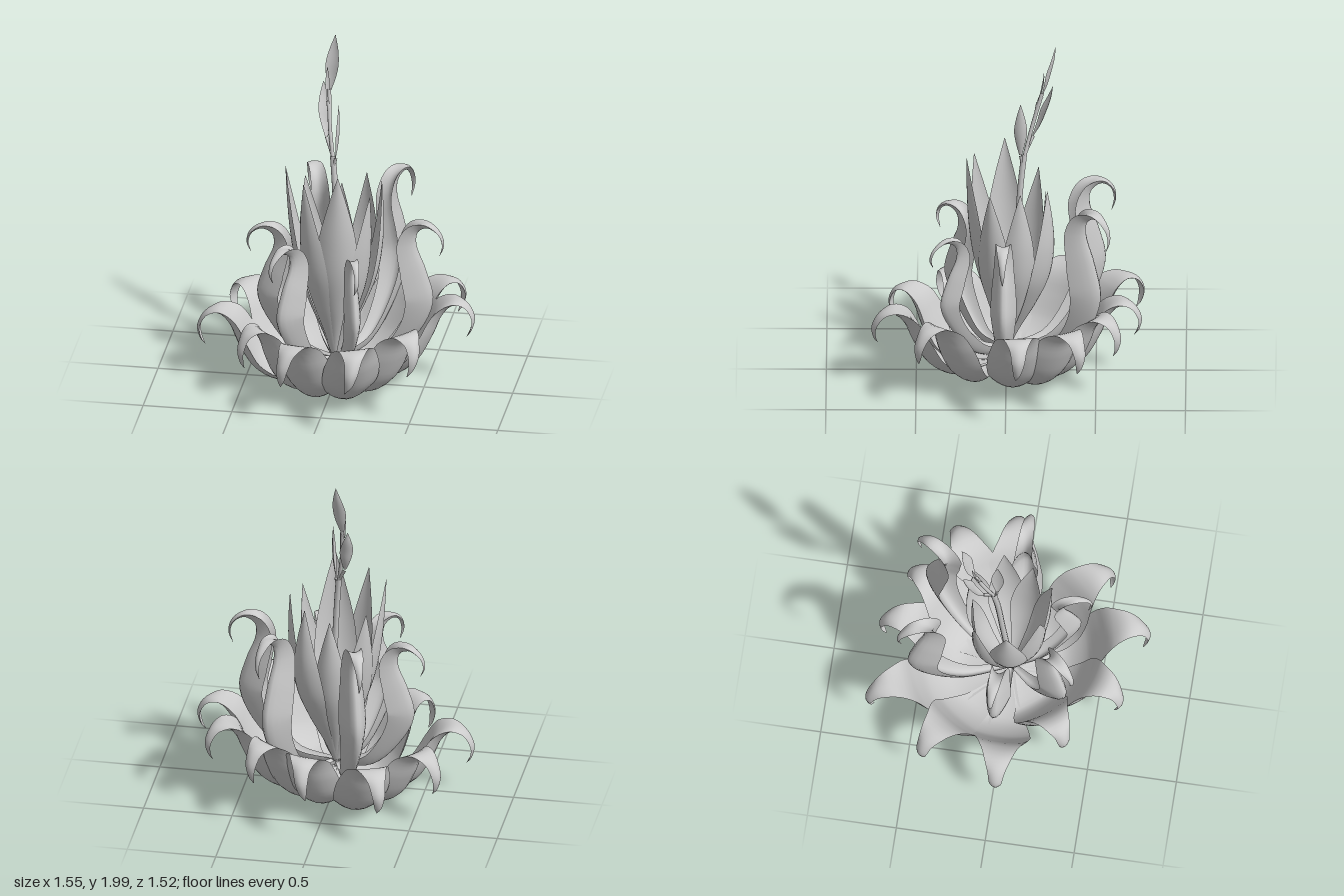
import * as THREE from 'three';

const material = new THREE.MeshStandardMaterial({ color: 0xcccccc });

// A leaf swept along a ridge of [radius, height, halfWidth] points in the vertical plane
// facing azimuth a. fold = trough depth (tipFold near the tip) and thick = flesh, both
// relative to the half width; bend bows the leaf sideways, shear tilts it along x.
function leaf(name, points, a, { fold, tipFold = fold, thick, bend = 0, shear = 0, rows = 40, cols = 12 }) {
  const curve = new THREE.CatmullRomCurve3(points.map((p) => new THREE.Vector3(...p)));
  const out = new THREE.Vector3(Math.sin(a), 0, Math.cos(a));
  const side = new THREE.Vector3(Math.cos(a), 0, -Math.sin(a));
  const positions = [], indices = [];
  for (const inner of [false, true]) {
    const start = positions.length / 3;
    for (let i = 0; i <= rows; i++) {
      const p = curve.getPoint(i / rows), t = curve.getTangent(i / rows);
      const len = Math.hypot(t.x, t.y) || 1;
      const w = Math.max(p.z, 0.001);
      const f = THREE.MathUtils.lerp(fold, tipFold, THREE.MathUtils.smoothstep(i / rows, 0.5, 0.8));
      const bow = bend * Math.sin((Math.PI * i) / rows);
      for (let j = 0; j <= cols; j++) {
        const u = Math.sin((j / cols - 0.5) * Math.PI);
        const lift = w * (f * u * u + (inner ? thick * (1 - u * u) : 0));
        const r = p.x - (t.y / len) * lift, y = p.y + (t.x / len) * lift;
        const v = out.clone().multiplyScalar(r).addScaledVector(side, u * w + bow);
        positions.push(v.x, y + shear * v.x, v.z);
      }
    }
    for (let i = 0; i < rows; i++) {
      for (let j = 0; j < cols; j++) {
        const b = start + i * (cols + 1) + j, c = b + cols + 1;
        if (inner) indices.push(b, c, b + 1, c, c + 1, b + 1);
        else indices.push(b, b + 1, c, c, b + 1, c + 1);
      }
    }
  }
  const geometry = new THREE.BufferGeometry();
  geometry.setAttribute('position', new THREE.Float32BufferAttribute(positions, 3));
  geometry.setIndex(indices);
  geometry.computeVertexNormals();
  const mesh = new THREE.Mesh(geometry, material);
  mesh.name = name;
  return mesh;
}

function tube(name, points, radius) {
  const curve = new THREE.CatmullRomCurve3(points.map((p) => new THREE.Vector3(...p)));
  const mesh = new THREE.Mesh(new THREE.TubeGeometry(curve, 24, radius, 10), material);
  mesh.name = name;
  return mesh;
}

function group(name, children) {
  const g = new THREE.Group();
  g.name = name;
  g.add(...children);
  return g;
}

// Broad outer leaves: low bowl, then a rise and a hook. Each entry is the tip [x, z] and bend.
function outerLeaves() {
  const tips = [
    [-0.38, -0.76, 0], [0.05, -0.75, -0.03], [0.38, -0.63, 0], [0.66, -0.42, 0], [0.77, -0.06, 0.02],
    [0.51, 0.51, 0.05], [0.18, 0.75, 0.06], [-0.22, 0.64, 0.04], [-0.48, 0.37, 0], [-0.77, 0.02, 0],
    [-0.65, -0.42, 0],
  ];
  const ridge = [
    [0, 0.09, 0.015], [0.15, 0.05, 0.055], [0.32, 0.036, 0.115], [0.46, 0.125, 0.152], [0.545, 0.27, 0.155],
    [0.595, 0.385, 0.125], [0.655, 0.445, 0.08], [0.72, 0.435, 0.05], [0.762, 0.365, 0.036],
    [0.752, 0.29, 0.02], [0.73, 0.25, 0.002],
  ];
  return group('outerLeaves', tips.map(([x, z, bend]) => {
    const s = Math.hypot(x, z) / 0.77;
    return leaf('outerLeaf', ridge.map(([r, y, w]) => [r * s, y, w]), Math.atan2(x, z),
      { fold: 0.5, tipFold: -0.1, thick: 0.38, bend, shear: 0.08 });
  }));
}

// Tall folded leaves with a curled tip: direction [x, z], body radius, height, width scale, bend.
function middleLeaves() {
  const list = [
    [-0.24, -0.6, 0.51, 1.1, 1, 0], [0.35, -0.58, 0.53, 1.13, 1, 0], [0.65, 0.02, 0.47, 1.02, 0.95, 0],
    [0.18, 0.42, 0.32, 0.9, 0.62, 0.025], [-0.3, 0.38, 0.35, 0.93, 0.9, 0], [-0.52, -0.05, 0.365, 0.92, 0.9, 0],
  ];
  return group('middleLeaves', list.map(([x, z, b, h, k, bend]) => leaf('middleLeaf', [
    [0, 0.13, 0.015], [b * 0.55, 0.15, 0.035], [b, 0.34 * h, 0.06 * k], [b + 0.085, 0.54 * h, 0.077 * k],
    [b + 0.045, 0.72 * h, 0.072 * k], [b - 0.01, 0.87 * h, 0.055 * k], [b, 0.945 * h, 0.045 * k],
    [b + 0.055, 0.972 * h, 0.036 * k], [b + 0.115, 0.935 * h, 0.022 * k], [b + 0.135, 0.87 * h, 0.012],
    [b + 0.12, 0.81 * h, 0.002],
  ], Math.atan2(x, z), { fold: 2, tipFold: 0.3, thick: 0.9, bend, rows: 48 })));
}

// Upright spear leaves of the heart: tip [x, z, height], width scale and bulge.
function heartLeaves() {
  const tips = [
    [0.05, 0.22, 1.35, 1, 1], [-0.15, 0.18, 1.28, 0.9, 1], [-0.28, 0.01, 1.31, 0.9, 0.95],
    [-0.2, -0.18, 1.17, 0.85, 1], [0, -0.22, 1.12, 0.8, 1.1], [0.14, -0.23, 1.19, 0.9, 1.2],
    [0.25, -0.08, 1.22, 0.85, 1.1], [0.21, 0.09, 1.19, 0.85, 1],
  ];
  const ridge = [
    [0.01, 0.15, 0.015], [0.06, 0.3, 0.038], [0.135, 0.5, 0.08], [0.195, 0.7, 0.117],
    [0.225, 0.9, 0.105], [0.237, 1.1, 0.06], [0.24, 1.3, 0.002],
  ];
  return group('heartLeaves', tips.map(([x, z, h, k, bulge]) => {
    const s = Math.hypot(x, z) / 0.24;
    const points = ridge.map(([r, y, w]) => [
      r * s * (1 + (bulge - 1) * Math.sin(Math.PI * y / 1.3)), y * h / 1.3, w * k,
    ]);
    return leaf('heartLeaf', points, Math.atan2(x, z), { fold: 0.45, thick: 0.12 });
  }));
}

// Flower stalk with leaflets: fork point, base, tip, half width, optional azimuth.
function flowerStalk() {
  const stalk = group('flowerStalk', [
    tube('stem', [[0, 0.12, 0], [0.005, 0.7, -0.05], [-0.015, 1.15, -0.08], [-0.03, 1.34, -0.1]], 0.017),
    tube('upperStem', [[-0.03, 1.32, -0.1], [-0.055, 1.5, -0.145], [-0.068, 1.7, -0.2]], 0.011),
  ]);
  const leaflets = [
    [[-0.066, 1.66, -0.19], [-0.068, 1.68, -0.2], [-0.045, 2, -0.275], 0.04],
    [[-0.03, 1.33, -0.1], [-0.075, 1.43, -0.15], [-0.11, 1.72, -0.26], 0.037],
    [[-0.025, 1.27, -0.09], [-0.01, 1.34, -0.08], [0.005, 1.66, -0.085], 0.036, Math.PI / 2],
    [[-0.06, 1.55, -0.16], [-0.072, 1.64, -0.175], [-0.08, 1.83, -0.21], 0.012],
  ];
  for (const [fork, base, tip, w, azimuth] of leaflets) {
    const dx = tip[0] - base[0], dy = tip[1] - base[1], dz = tip[2] - base[2];
    const reach = Math.hypot(dx, dz);
    const blade = leaf('leaflet', [
      [0, 0, 0.008], [reach * 0.3 + 0.008, dy * 0.25, w * 0.75], [reach * 0.5 + 0.012, dy * 0.48, w],
      [reach * 0.8 + 0.008, dy * 0.75, w * 0.65], [reach, dy, 0.001],
    ], azimuth ?? Math.atan2(dx, dz), { fold: 0.4, thick: 0.2, rows: 20, cols: 8 });
    blade.position.set(...base);
    stalk.add(blade, tube('twig', [fork, base], 0.009));
  }
  return stalk;
}

export function createModel() {
  return group('succulent', [outerLeaves(), middleLeaves(), heartLeaves(), flowerStalk()]);
}
